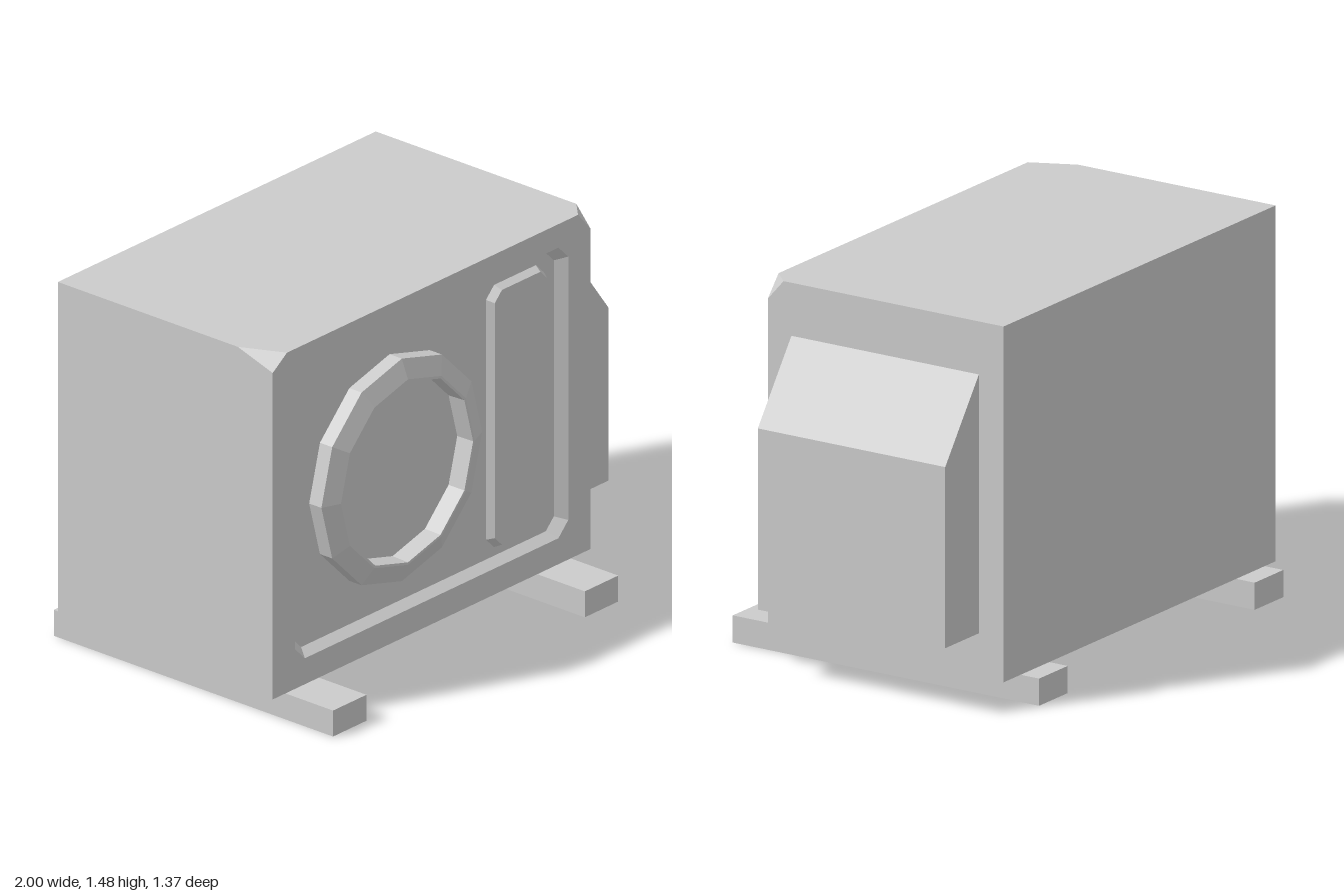
import * as THREE from 'three';

const material = new THREE.MeshStandardMaterial({ color: 0xcccccc, flatShading: true });

function mesh(name, geometry) {
  const m = new THREE.Mesh(geometry, material);
  m.name = name;
  return m;
}

// Flat polygons (corners counter-clockwise from outside) to a faceted geometry
function fromPolygons(polygons) {
  const positions = [];
  for (const p of polygons) {
    for (let i = 1; i < p.length - 1; i++) positions.push(...p[0], ...p[i], ...p[i + 1]);
  }
  const g = new THREE.BufferGeometry();
  g.setAttribute('position', new THREE.Float32BufferAttribute(positions, 3));
  g.computeVertexNormals();
  return g;
}

// Joins successive rings with quads and caps the last ring
function loft(rings) {
  const faces = [];
  for (let r = 0; r < rings.length - 1; r++) {
    const a = rings[r], b = rings[r + 1];
    a.forEach((p, i) => {
      const j = (i + 1) % a.length;
      faces.push([p, a[j], b[j], b[i]]);
    });
  }
  faces.push(rings[rings.length - 1]);
  return fromPolygons(faces);
}

// Rectangle with clipped corners, counter-clockwise from the front
function clippedRect(x0, x1, y0, y1, c, z) {
  return [
    [x0 + c, y0, z], [x1 - c, y0, z], [x1, y0 + c, z], [x1, y1 - c, z],
    [x1 - c, y1, z], [x0 + c, y1, z], [x0, y1 - c, z], [x0, y0 + c, z],
  ];
}

// Twelve-sided ring around the fan axis, one corner pointing up
function fanRing(radius, z) {
  return Array.from({ length: 12 }, (_, i) => {
    const a = (i * Math.PI) / 6;
    return [-0.3 + radius * Math.cos(a), 0.8 + radius * Math.sin(a), z];
  });
}

export function createModel() {
  const group = new THREE.Group();
  const L = -1, R = 0.78, B = 0.105, T = 1.48, back = -0.6, front = 0.45, floor = 0.41;

  // Casing shell with two clipped top front corners
  const leftCut = [[L, 1.425, front], [-0.92, T, front], [L, T, 0.28]];
  const rightCut = [[R, 1.4, front], [R, T, 0.38], [0.71, T, front]];
  group.add(mesh('casing', fromPolygons([
    [[R, B, back], [L, B, back], [L, T, back], [R, T, back]],
    [[L, B, back], [R, B, back], [R, B, front], [L, B, front]],
    [[L, B, back], [L, B, front], leftCut[0], leftCut[2], [L, T, back]],
    [[R, B, front], [R, B, back], [R, T, back], rightCut[1], rightCut[0]],
    [leftCut[2], leftCut[1], rightCut[2], rightCut[1], [R, T, back], [L, T, back]],
    leftCut, rightCut,
  ])));

  // Front frame around the recess
  const rim = clippedRect(-0.875, 0.655, 0.21, 1.385, 0.055, front);
  const toV2 = ([x, y]) => new THREE.Vector2(x, y);
  const frame = new THREE.Shape([
    [L, B], [R, B], rightCut[0], rightCut[2], leftCut[1], leftCut[0],
  ].map(toV2));
  frame.holes.push(new THREE.Path(rim.map(toV2)));
  const frameMesh = mesh('frontFrame', new THREE.ShapeGeometry(frame));
  frameMesh.position.z = front;
  group.add(frameMesh);

  // Recessed front with sloping walls
  group.add(mesh('frontRecess', loft([
    rim, clippedRect(-0.84, 0.62, 0.235, 1.36, 0.045, floor),
  ])));

  // Fan surround: outer wall, bevel, inner wall and disc
  group.add(mesh('fanSurround', loft([
    fanRing(0.45, floor), fanRing(0.45, 0.47), fanRing(0.375, 0.5),
    fanRing(0.365, 0.5), fanRing(0.362, 0.425),
  ])));

  // Raised bevelled panel beside the fan
  group.add(mesh('frontPanel', loft([
    clippedRect(0.24, 0.565, 0.27, 1.33, 0.045, floor),
    clippedRect(0.255, 0.55, 0.285, 1.315, 0.04, 0.44),
  ])));

  // Side cover with sloping top
  const profile = new THREE.Shape([
    [R, 0.275], [1, 0.275], [1, 0.975], [R, 1.275],
  ].map(toV2));
  const cover = mesh('sideCover', new THREE.ExtrudeGeometry(profile, { depth: 0.835, bevelEnabled: false }));
  cover.position.z = -0.49;
  group.add(cover);

  // Mounting rails
  for (const x of [-0.835, 0.575]) {
    const rail = mesh('mountingRail', new THREE.BoxGeometry(0.187, 0.105, 1.365));
    rail.position.set(x, 0.0525, 0);
    group.add(rail);
  }
  return group;
}
